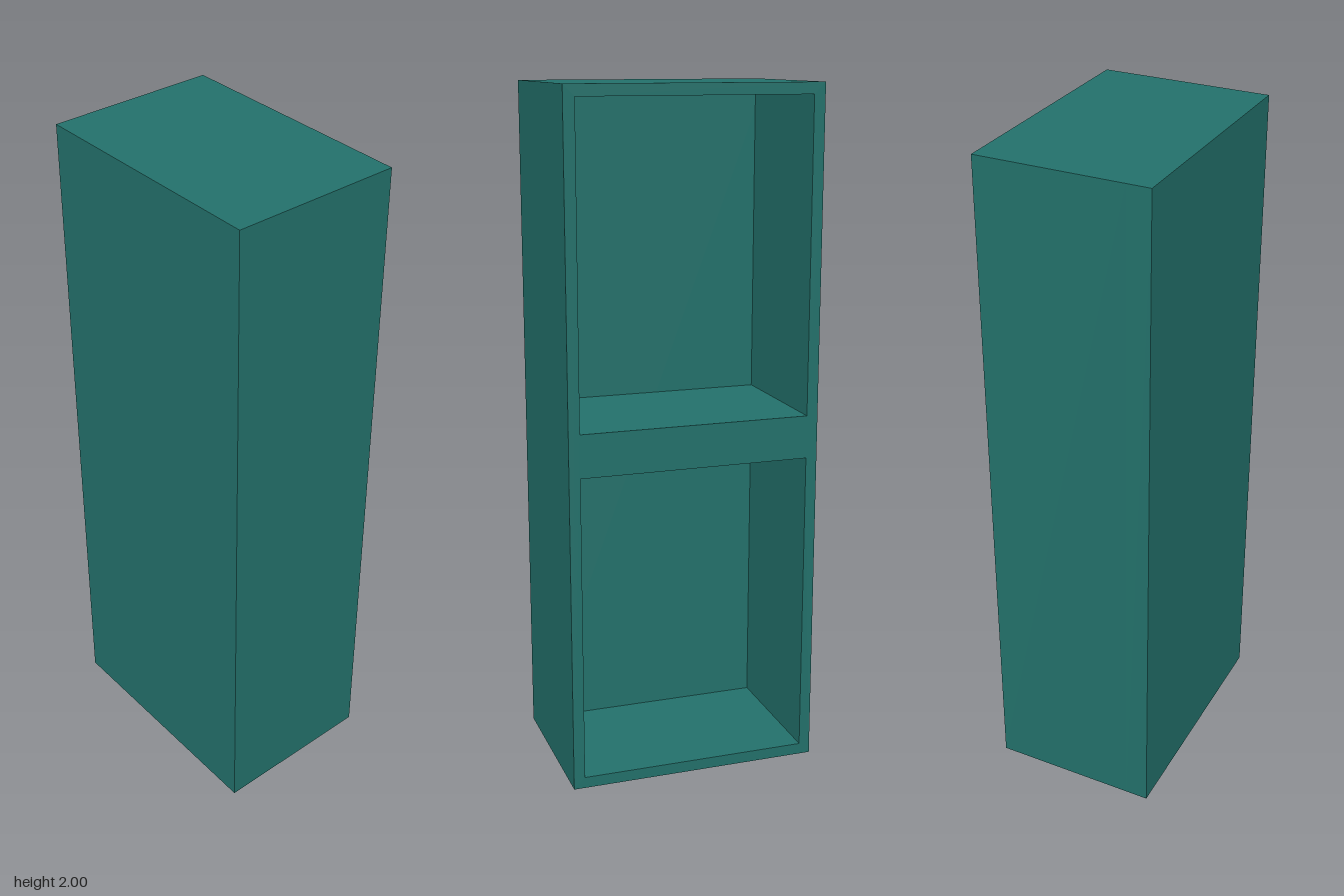
import * as THREE from 'three';

const HEIGHT = 2, WIDTH = 0.499, DEPTH = 0.743;
const WALL = 0.033, SHELF = 0.126, RECESS = 0.43;

// Closed rectangle outline from two corners
function rectangle(Type, x0, y0, x1, y1) {
  const path = new Type();
  path.moveTo(x0, y0);
  path.lineTo(x1, y0);
  path.lineTo(x1, y1);
  path.lineTo(x0, y1);
  path.closePath();
  return path;
}

export function createModel() {
  const teal = new THREE.MeshStandardMaterial({ color: 0x23716b });
  teal.name = 'teal';

  const cabinet = new THREE.Group();
  cabinet.name = 'cabinet';

  // Frame: side walls, top, bottom and middle shelf around two open compartments
  const outline = rectangle(THREE.Shape, -DEPTH / 2, 0, DEPTH / 2, HEIGHT);
  const inner = DEPTH / 2 - WALL;
  for (const [low, high] of [
    [WALL, (HEIGHT - SHELF) / 2],
    [(HEIGHT + SHELF) / 2, HEIGHT - WALL],
  ]) {
    outline.holes.push(rectangle(THREE.Path, -inner, low, inner, high));
  }
  const frameGeometry = new THREE.ExtrudeGeometry(outline, { depth: RECESS, bevelEnabled: false });
  frameGeometry.rotateY(Math.PI / 2);
  frameGeometry.translate(WIDTH / 2 - RECESS, 0, 0);
  const frame = new THREE.Mesh(frameGeometry, teal);
  frame.name = 'frame';
  cabinet.add(frame);

  // Back panel closing both compartments
  const thickness = WIDTH - RECESS;
  const back = new THREE.Mesh(new THREE.BoxGeometry(thickness, HEIGHT, DEPTH), teal);
  back.name = 'backPanel';
  back.position.set((thickness - WIDTH) / 2, HEIGHT / 2, 0);
  cabinet.add(back);

  // The cabinet stands slightly turned, its openings towards +x
  cabinet.rotation.y = THREE.MathUtils.degToRad(-12.3);

  const model = new THREE.Group();
  model.name = 'openCabinet';
  model.add(cabinet);
  return model;
}
